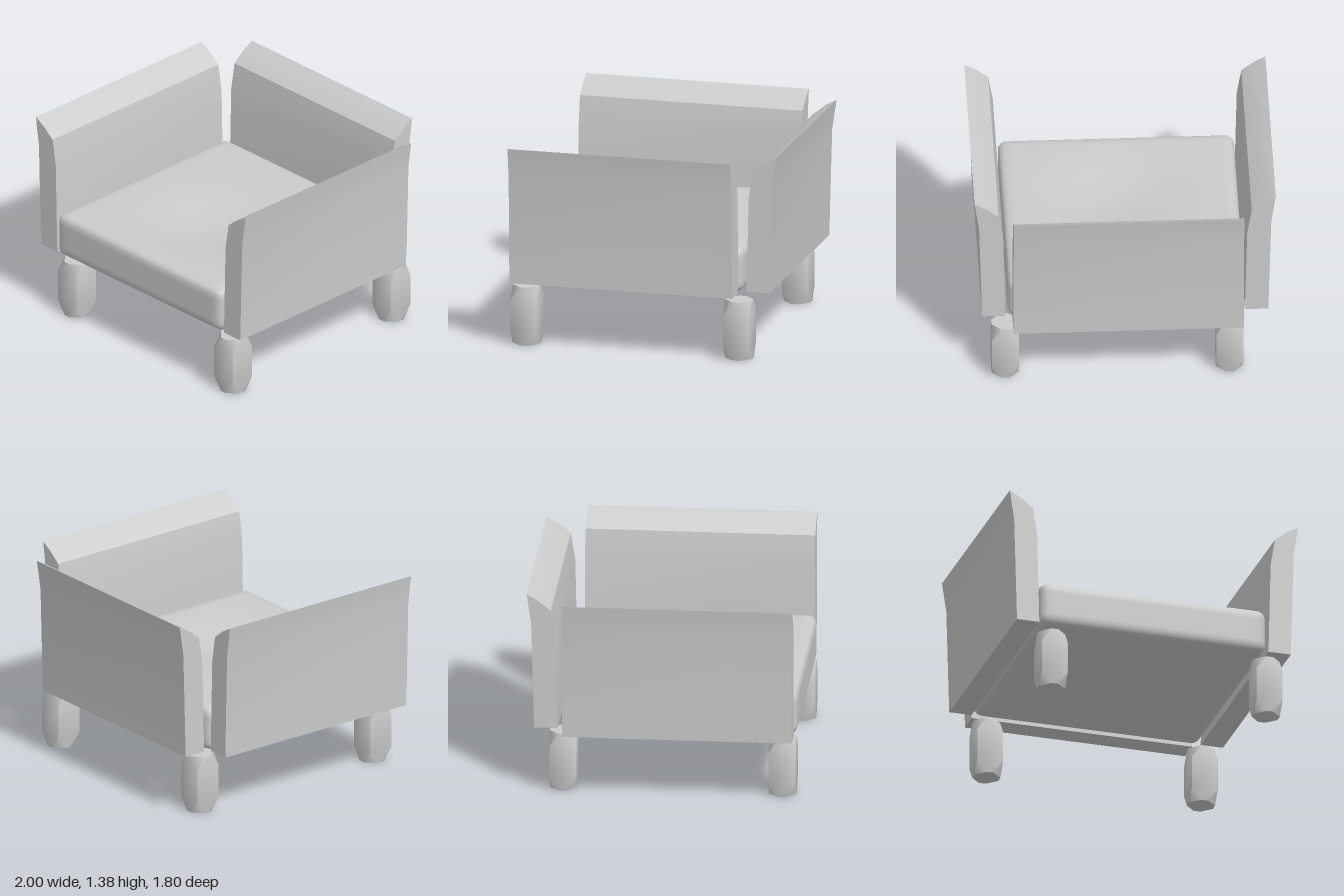
import * as THREE from 'three';
import { mergeVertices, toCreasedNormals } from 'three/addons/utils/BufferGeometryUtils.js';

const grey = new THREE.MeshStandardMaterial({ color: 0xcccccc });

function addMesh(parent, name, geometry, x, y, z, turn = 0) {
  const mesh = new THREE.Mesh(geometry, grey);
  mesh.name = name;
  mesh.position.set(x, y, z);
  mesh.rotation.y = turn;
  parent.add(mesh);
  return mesh;
}

// Weld and smooth a geometry after its vertices were moved
function smooth(geometry) {
  geometry.deleteAttribute('normal');
  geometry.deleteAttribute('uv');
  const welded = mergeVertices(geometry, 1e-4);
  welded.computeVertexNormals();
  return welded;
}

// Side panel that flares outward (+x) at its top, shared by the arms and the back
function panelGeometry(length) {
  const profile = [
    [0, 0.44], [0.155, 0.44], [0.175, 1.17], [0.205, 1.375],
    [0.125, 1.33], [0.045, 1.265], [0.015, 1.08],
  ];
  const shape = new THREE.Shape(profile.map(([x, y]) => new THREE.Vector2(x, y)));
  const geometry = new THREE.ExtrudeGeometry(shape, { depth: length, bevelEnabled: false });
  geometry.translate(0, 0, -length / 2);
  return toCreasedNormals(geometry, 0.5);
}

// Rounded cushion: slightly dented on top, sagging underneath
function cushionGeometry(w, h, d, r) {
  const geometry = new THREE.BoxGeometry(w, h, d, 36, 12, 36);
  const pos = geometry.attributes.position;
  const core = new THREE.Vector3(w / 2 - r, h / 2 - r, d / 2 - r);
  const low = core.clone().negate();
  const p = new THREE.Vector3();
  const inner = new THREE.Vector3();
  const ramp = (u) => THREE.MathUtils.clamp((1 - Math.abs(u)) / 0.7, 0, 1);
  const dip = (u) => Math.cos(Math.min(1, Math.abs(u)) * Math.PI / 2) ** 2;
  for (let i = 0; i < pos.count; i++) {
    p.fromBufferAttribute(pos, i);
    inner.copy(p).clamp(low, core);
    p.sub(inner).setLength(r).add(inner);
    const u = p.x / (w / 2 - 0.03);
    const v = p.z / (d / 2 - 0.03);
    if (p.y < -h / 2 + 0.001) p.y -= 0.07 * ramp(u) * ramp(v);
    if (p.y > h / 2 - 0.001) p.y -= 0.05 * dip(u * 1.2 - 0.1) * dip(v * 1.2 - 0.15);
    pos.setXYZ(i, p.x, p.y, p.z);
  }
  return smooth(geometry);
}

// Square leg whose eight corners are cut away, lofted from octagonal rings
function legGeometry(a, height) {
  const rings = [[0, 0.025], [0.09, a - 0.002], [height - 0.09, a - 0.002], [height, 0.025]];
  const points = [];
  for (const [y, c] of rings) {
    for (const [x, z] of [[a, c], [c, a], [-c, a], [-a, c], [-a, -c], [-c, -a], [c, -a], [a, -c]]) {
      points.push(x, y, z);
    }
  }
  const index = [];
  for (let k = 0; k < 3; k++) {
    for (let i = 0; i < 8; i++) {
      const p = k * 8 + i;
      const q = k * 8 + (i + 1) % 8;
      index.push(p, p + 8, q, q, p + 8, q + 8);
    }
  }
  // End caps
  for (let i = 1; i < 7; i++) {
    index.push(0, i, i + 1, 24, 24 + i + 1, 24 + i);
  }
  const geometry = new THREE.BufferGeometry();
  geometry.setAttribute('position', new THREE.Float32BufferAttribute(points, 3));
  geometry.setIndex(index);
  return toCreasedNormals(geometry, 1.1);
}

export function createModel() {
  const chair = new THREE.Group();
  chair.name = 'armchair';

  // Seat
  addMesh(chair, 'seatCushion', cushionGeometry(1.57, 0.31, 1.57, 0.06), -0.005, 0.585, 0.115);

  // Arms and back
  const panel = panelGeometry(1.53);
  addMesh(chair, 'leftArm', panel, 0.795, 0, 0.115);
  addMesh(chair, 'rightArm', panel, -0.795, 0, 0.115, Math.PI);
  addMesh(chair, 'backrest', panel, -0.015, 0, -0.695, Math.PI / 2);

  // Legs
  const leg = legGeometry(0.09, 0.4);
  for (const [side, x] of [['Left', 0.8], ['Right', -0.69]]) {
    for (const [end, z] of [['front', 0.8], ['back', -0.66]]) {
      addMesh(chair, `${end}${side}Leg`, leg, x, 0, z);
    }
  }
  return chair;
}
